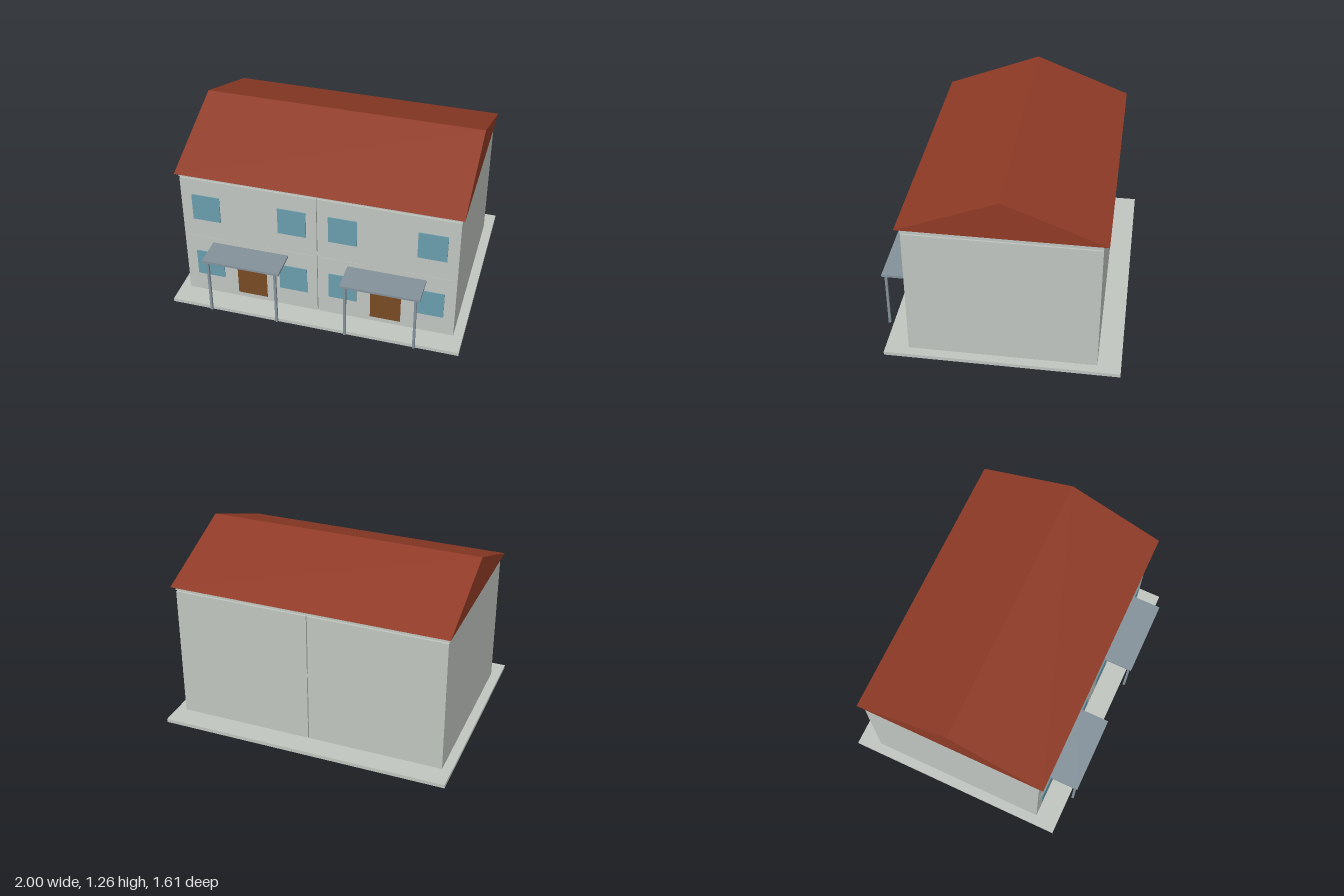
import * as THREE from 'three';

const paint = (name, color) => {
  const m = new THREE.MeshStandardMaterial({ color });
  m.name = name;
  return m;
};

export function createModel() {
  const render = paint('pale render', 0xc0c5c0);
  const tile = paint('red roof tile', 0x8f3a26);
  const glass = paint('window glass', 0x6a9cab);
  const wood = paint('door wood', 0x784a24);
  const metal = paint('canopy metal', 0x84919a);

  const house = new THREE.Group();
  house.name = 'semiDetachedHouse';

  // Box given by its limits on each axis
  const box = (name, mat, [x0, x1], [y0, y1], [z0, z1], parent = house) => {
    const mesh = new THREE.Mesh(new THREE.BoxGeometry(Math.abs(x1 - x0), y1 - y0, z1 - z0), mat);
    mesh.position.set((x0 + x1) / 2, (y0 + y1) / 2, (z0 + z1) / 2);
    mesh.name = name;
    parent.add(mesh);
  };

  // Ground slab, recessed core, floor slab and eaves band
  box('groundSlab', render, [-1, 1], [0, 0.025], [-0.805, 0.755]);
  box('core', render, [-0.92, 0.92], [0.02, 0.98], [-0.635, 0.585]);
  box('floorSlab', render, [-0.934, 0.934], [0.5, 0.524], [-0.648, 0.598]);
  box('eavesBand', render, [-0.938, 0.938], [0.966, 1], [-0.65, 0.602]);

  // Pitched roof: triangular prism along x
  const gable = new THREE.Shape([
    new THREE.Vector2(-0.635, 1),
    new THREE.Vector2(0.685, 1),
    new THREE.Vector2(0.022, 1.26),
  ]);
  const roofGeo = new THREE.ExtrudeGeometry(gable, { depth: 1.91, bevelEnabled: false });
  roofGeo.translate(0, 0, -0.955).rotateY(Math.PI / 2);
  const roof = new THREE.Mesh(roofGeo, tile);
  roof.name = 'roof';
  house.add(roof);

  // Two mirrored dwellings
  for (const s of [1, -1]) {
    const half = new THREE.Group();
    half.name = s > 0 ? 'leftDwelling' : 'rightDwelling';
    house.add(half);
    const part = (name, mat, [a, b], y, z) => box(name, mat, [s * a, s * b], y, z, half);

    // Storey walls, leaving a narrow joint between the dwellings
    part('lowerWalls', render, [0.004, 0.935], [0.025, 0.525], [-0.65, 0.6]);
    part('upperWalls', render, [0.004, 0.935], [0.525, 0.956], [-0.65, 0.6]);

    // Windows on both storeys
    for (const x of [[0.075, 0.268], [0.667, 0.86]]) {
      for (const y of [0.17, 0.638]) part('window', glass, x, [y, y + 0.197], [0.598, 0.606]);
    }

    // Door with a slim surround
    part('doorSurround', render, [0.355, 0.58], [0.06, 0.405], [0.598, 0.601]);
    part('door', wood, [0.363, 0.572], [0.06, 0.402], [0.598, 0.603]);

    // Shallow string courses
    for (const x of [[0.03, 0.36], [0.575, 0.91]]) {
      part('stringCourse', render, x, [0.481, 0.494], [0.598, 0.602]);
    }

    // Porch canopy on two posts
    part('canopy', metal, [0.205, 0.735], [0.441, 0.457], [0.59, 0.805]);
    for (const x of [0.23, 0.697]) part('canopyPost', metal, [x, x + 0.016], [0.025, 0.442], [0.775, 0.791]);
  }
  return house;
}
